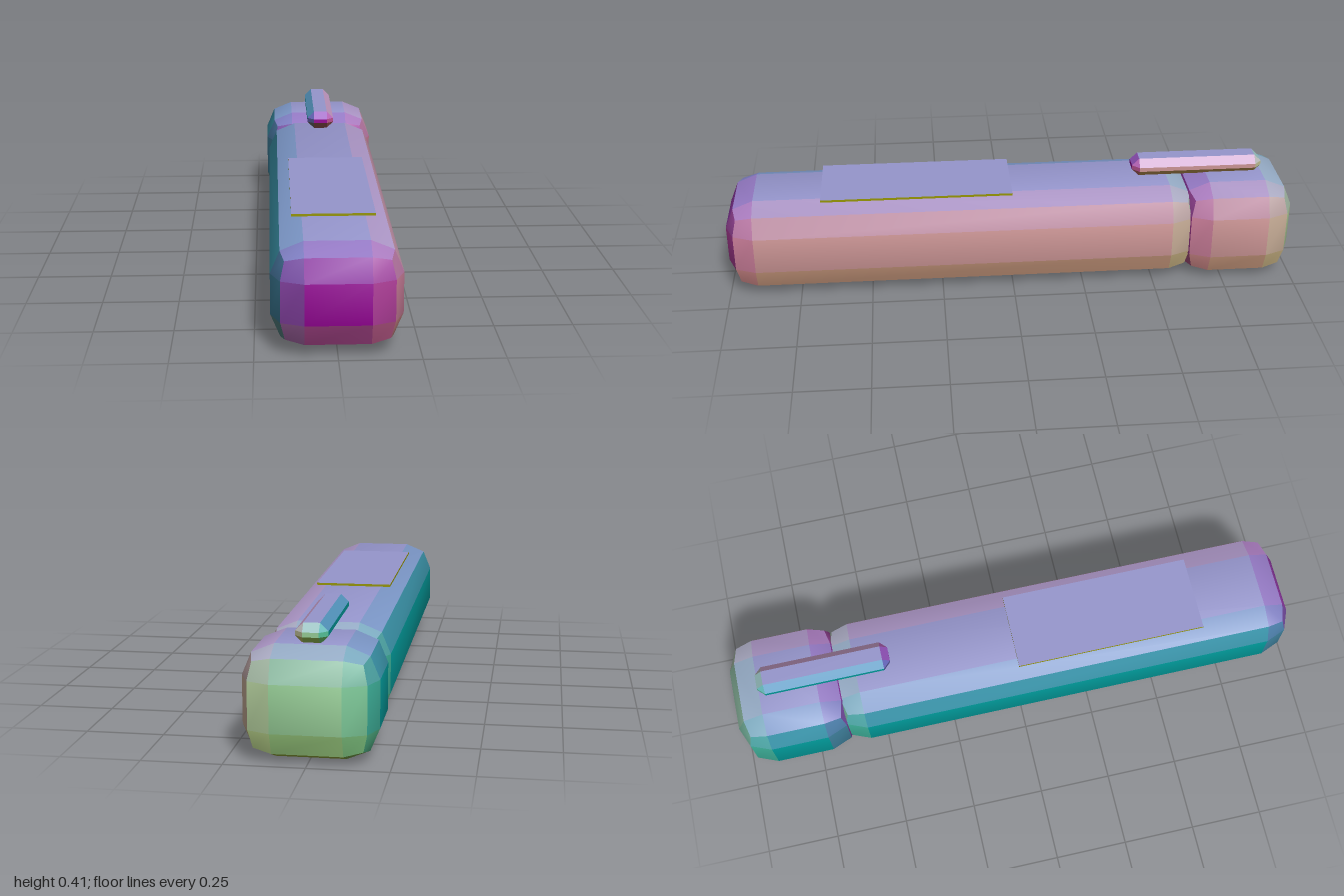
import * as THREE from 'three';
import { RoundedBoxGeometry } from 'three/addons/geometries/RoundedBoxGeometry.js';
import { ConvexGeometry } from 'three/addons/geometries/ConvexGeometry.js';
import { toCreasedNormals } from 'three/addons/utils/BufferGeometryUtils.js';

// Material whose colour follows the direction a surface faces
function facing(n) {
  const channel = (v) => 0.604 * (0.5 + 0.5 * v);
  const material = new THREE.MeshStandardMaterial();
  material.color.setRGB(channel(n.x), channel(-n.z), channel(n.y));
  return material;
}

// One material per facet of `size` vertices, from its mean normal
function paint(geometry, size) {
  const { normal } = geometry.attributes;
  const materials = [];
  geometry.clearGroups();
  for (let i = 0; i < normal.count; i += size) {
    const mean = new THREE.Vector3();
    for (let k = i; k < i + size; k++) {
      mean.add(new THREE.Vector3().fromBufferAttribute(normal, k));
    }
    geometry.addGroup(i, size, materials.length);
    materials.push(facing(mean.divideScalar(size)));
  }
  return materials;
}

// Softly bevelled box with a crease along the middle of each bevel
function roundedBox(w, h, d) {
  const geometry = new RoundedBoxGeometry(w, h, d, 1, 0.1);
  const materials = paint(geometry, 6);
  return new THREE.Mesh(toCreasedNormals(geometry, Math.PI / 6), materials);
}

// Box with every edge cut by a single flat chamfer
function chamferBox(w, h, d) {
  const c = 0.025;
  const points = [];
  for (const sx of [-1, 1]) for (const sy of [-1, 1]) for (const sz of [-1, 1]) {
    for (const [ix, iy, iz] of [[0, c, c], [c, 0, c], [c, c, 0]]) {
      points.push(new THREE.Vector3(sx * (w / 2 - ix), sy * (h / 2 - iy), sz * (d / 2 - iz)));
    }
  }
  const geometry = new ConvexGeometry(points);
  return new THREE.Mesh(geometry, paint(geometry, 3));
}

// Thin plate: its rim shares the colour of its underside
function plate(w, h, d) {
  const top = facing(new THREE.Vector3(0, 1, 0));
  const rim = facing(new THREE.Vector3(0, -1, 0));
  return new THREE.Mesh(new THREE.BoxGeometry(w, h, d), [rim, rim, top, rim, rim, rim]);
}

export function createModel() {
  const group = new THREE.Group();

  // Place a part by its vertical and lengthwise extents
  const add = (name, make, halfWidth, y0, y1, z0, z1) => {
    const mesh = make(halfWidth * 2, y1 - y0, z1 - z0);
    mesh.name = name;
    mesh.position.set(0, (y0 + y1) / 2, (z0 + z1) / 2);
    group.add(mesh);
  };

  // Long body and the slightly wider cap overlapping its rear end
  add('body', roundedBox, 0.2, 0.01, 0.34, -0.66, 1);
  add('cap', roundedBox, 0.208, 0, 0.35, -1, -0.6);

  // Thin plate on top of the body
  add('topPlate', plate, 0.132, 0.341, 0.349, 0, 0.665);

  // Clip bar lying over the cap and reaching forward
  add('clip', chamferBox, 0.05, 0.345, 0.41, -0.9, -0.435);

  return group;
}
